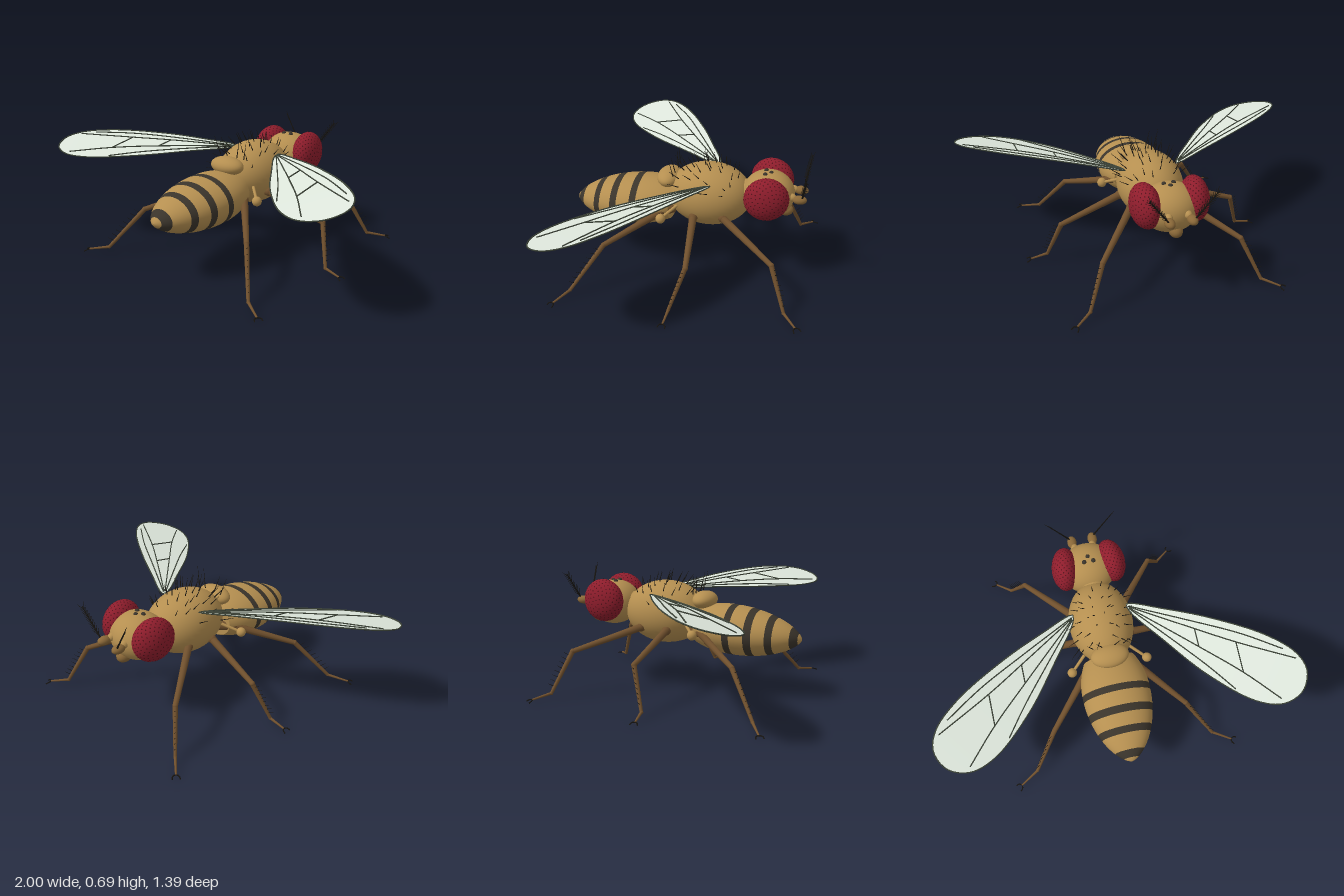
import * as THREE from 'three';
import { mergeGeometries } from 'three/addons/utils/BufferGeometryUtils.js';

const mat = (name, color, side = THREE.FrontSide) => {
  const m = new THREE.MeshStandardMaterial({ color, side });
  m.name = name;
  return m;
};
const V = (x, y, z) => new THREE.Vector3(x, y, z);
const UP = V(0, 1, 0);

export function createModel() {
  const tan = mat('tan body', 0xb58f50), stripe = mat('dark stripe', 0x3a342b);
  const red = mat('eye red', 0x8f1d2c), darkRed = mat('facet red', 0x541019, THREE.DoubleSide);
  const brown = mat('leg brown', 0x70502d), amber = mat('amber', 0x8a6838);
  const wingMat = mat('wing grey', 0xdfe8dd, THREE.DoubleSide);
  const vein = mat('vein', 0x3b4236), black = mat('bristle black', 0x17140f);

  const root = new THREE.Group();
  root.name = 'fly';
  const add = (name, geo, material, parent = root) => {
    const m = new THREE.Mesh(geo, material);
    m.name = name;
    parent.add(m);
    return m;
  };
  const ball = (c, r, seg = 32) =>
    new THREE.SphereGeometry(1, seg, Math.round(seg * 0.7)).scale(r.x, r.y, r.z).translate(c.x, c.y, c.z);
  // Tapered rod from a to b
  const rod = (a, b, ra, rb, seg = 10) => {
    const d = b.clone().sub(a);
    const q = new THREE.Quaternion().setFromUnitVectors(UP, d.clone().normalize());
    const mid = a.clone().add(b).multiplyScalar(0.5);
    return new THREE.CylinderGeometry(rb, ra, d.length(), seg).applyQuaternion(q).translate(mid.x, mid.y, mid.z);
  };
  const spike = (a, dir, len, r = 0.003) =>
    rod(a, a.clone().addScaledVector(dir.clone().normalize(), len), r, 0.0006, 5);
  let seed = 7;
  const rnd = () => (seed = (seed * 16807) % 2147483647) / 2147483647 - 0.5;

  // Thorax, neck, scutellum and head
  const tc = V(0, 0.445, -0.1), tr = V(0.18, 0.178, 0.24);
  add('thorax', ball(tc, tr, 40), tan);
  add('scutellum', ball(V(0, 0.525, 0.13), V(0.105, 0.05, 0.068)), tan);
  add('neck', rod(V(0, 0.46, -0.24), V(0, 0.475, -0.38), 0.08, 0.08, 24), tan);
  add('head', ball(V(0, 0.48, -0.43), V(0.16, 0.128, 0.146)), tan);
  add('proboscis', ball(V(0, 0.39, -0.53), V(0.036, 0.034, 0.044), 20), amber);
  for (const [x, z] of [[0, -0.44], [-0.026, -0.41], [0.026, -0.41]])
    add('ocellus', ball(V(x, 0.604, z), V(0.013, 0.012, 0.013), 12), stripe);

  // Abdomen in alternating bands, drooping slightly to a pointed tail
  const radius = z => z < 0.3
    ? 0.19 - 0.045 * ((0.3 - z) / 0.19) ** 2.2
    : 0.19 * Math.max(0, 1 - ((z - 0.3) / 0.386) ** 2) ** 0.65;
  const droop = new THREE.Matrix4().set(1, 0, 0, 0, 0, 1, -0.075, 0.393, 0, 0, 1, 0, 0, 0, 0, 1);
  const cuts = [0.11, 0.289, 0.326, 0.403, 0.443, 0.512, 0.548, 0.63, 0.668, 0.686];
  for (let i = 0; i < cuts.length - 1; i++) {
    const pts = i === 0 ? [new THREE.Vector2(0, cuts[0]), new THREE.Vector2(radius(cuts[0]), cuts[0])] : [];
    for (let k = 0; k <= 10; k++) {
      const z = THREE.MathUtils.lerp(cuts[i], cuts[i + 1], k / 10);
      pts.push(new THREE.Vector2(radius(z), z));
    }
    const band = new THREE.LatheGeometry(pts, 40).rotateX(Math.PI / 2).scale(1, 0.72, 1).applyMatrix4(droop);
    add('abdomenBand', band, i % 2 ? stripe : tan);
  }

  // Thorax bristles, swept backwards
  const hairs = [];
  for (const s of [-1, 1]) {
    for (const x0 of [0.03, 0.075, 0.12, 0.16])
      for (let k = 0; k < 6; k++) {
        const x = s * (x0 + rnd() * 0.03), z = -0.25 + k * 0.06 + rnd() * 0.04;
        const h = 1 - (x / tr.x) ** 2 - ((z - tc.z) / tr.z) ** 2;
        if (h <= 0) continue;
        const p = V(x, tc.y + tr.y * Math.sqrt(h), z);
        const n = p.clone().sub(tc).divide(tr).divide(tr).normalize();
        hairs.push(spike(p, n.add(V(rnd() * 0.4, 0.15, 0.35 + rnd() * 0.3)), 0.05 + 0.006 * k));
      }
    for (const x of [0.035, 0.085])
      hairs.push(spike(V(s * x, 0.565, 0.09), V(s * 0.3, 1, 0.15), 0.11));
  }
  add('thoraxBristles', mergeGeometries(hairs), black);

  // Hip, knee, ankle and toe of each leg on one side
  const legs = {
    frontLeg: [[0.14, 0.37, -0.2], [0.38, 0.258, -0.507], [0.475, 0.034, -0.595], [0.56, 0.014, -0.665]],
    middleLeg: [[0.16, 0.365, -0.04], [0.505, 0.256, -0.077], [0.582, 0.034, -0.003], [0.675, 0.012, 0.004]],
    hindLeg: [[0.14, 0.365, 0.15], [0.38, 0.256, 0.41], [0.525, 0.034, 0.565], [0.63, 0.012, 0.625]],
  };
  // Wing outline and veins as x, z pairs
  const outline = [[0.15, -0.13], [0.35, -0.045], [0.567, 0.063], [0.835, 0.23], [0.965, 0.36], [0.995, 0.46],
    [0.945, 0.56], [0.835, 0.597], [0.7, 0.55], [0.485, 0.355], [0.3, 0.115], [0.16, -0.085]];
  const veins = [
    [[0.16, -0.115], [0.45, 0.045], [0.7, 0.185], [0.9, 0.32]],
    [[0.16, -0.11], [0.475, 0.1], [0.67, 0.225], [0.955, 0.385]],
    [[0.16, -0.105], [0.475, 0.2], [0.67, 0.39], [0.83, 0.57]],
    [[0.16, -0.1], [0.35, 0.13], [0.5, 0.315], [0.61, 0.465]],
    [[0.475, 0.1], [0.475, 0.2]],
    [[0.67, 0.225], [0.67, 0.39]],
  ];
  // Height of the tilted, gently arched wing, leading edge raised
  const wingY = (x, z) => {
    const u = Math.abs(x) - 0.15, w = z + 0.12, along = 0.79 * u + 0.61 * w;
    return 0.557 + 0.065 * along - 0.05 * along * along + 0.23 * (0.61 * u - 0.79 * w);
  };

  for (const s of [-1, 1]) {
    const side = s > 0 ? 'left' : 'right';
    const group = name => {
      const g = new THREE.Group();
      g.name = `${side} ${name}`;
      root.add(g);
      return g;
    };

    // Compound eye with evenly spread facets, turned slightly inwards at the front
    const eye = group('eye'), er = V(0.077, 0.121, 0.122);
    eye.position.set(s * 0.133, 0.508, -0.435);
    eye.rotation.y = s * 0.12;
    add('eyeball', ball(V(0, 0, 0), er, 40), red, eye);
    const dots = [];
    for (let i = 0; i < 320; i++) {
      const y = 1 - (2 * i + 1) / 320, a = i * 2.39996, r = Math.sqrt(1 - y * y);
      const u = V(y * s, r * Math.cos(a), r * Math.sin(a));
      const q = new THREE.Quaternion().setFromUnitVectors(V(0, 0, 1), u.clone().divide(er).normalize());
      const p = u.multiply(er).multiplyScalar(1.008);
      dots.push(new THREE.CircleGeometry(0.0042, 6).applyQuaternion(q).translate(p.x, p.y, p.z));
    }
    add('eyeFacets', mergeGeometries(dots), darkRed, eye);

    // Antenna with a feathered arista
    const ant = group('antenna');
    add('antennaBase', ball(V(s * 0.052, 0.495, -0.56), V(0.022, 0.022, 0.03), 16), tan, ant);
    add('antennaLobe', ball(V(s * 0.06, 0.488, -0.606), V(0.027, 0.024, 0.04), 18), amber, ant);
    const a0 = V(s * 0.068, 0.5, -0.62), a1 = V(s * 0.18, 0.655, -0.645), ad = a1.clone().sub(a0);
    const feather = [rod(a0, a1, 0.005, 0.002, 6)];
    for (let k = 1; k < 9; k++) {
      const p = a0.clone().addScaledVector(ad, k / 9);
      for (const t of [-1, 1])
        feather.push(spike(p, ad.clone().normalize().add(V(-t * s * 0.26, t * 0.19, t * 0.3)), 0.045, 0.0028));
    }
    add('arista', mergeGeometries(feather), black, ant);

    // Haltere
    const halt = group('haltere'), knob = V(s * 0.215, 0.365, 0.132);
    add('halterStalk', rod(V(s * 0.13, 0.41, 0.06), knob, 0.009, 0.008), tan, halt);
    add('halterKnob', ball(knob, V(0.027, 0.027, 0.027), 18), tan, halt);

    // Legs with tibia spines and paired claws
    for (const [name, joints] of Object.entries(legs)) {
      const leg = group(name);
      const [hip, knee, ankle, toe] = joints.map(p => V(p[0] * s, p[1], p[2]));
      const inner = V(s * 0.08, 0.37, hip.z * 0.75 - 0.02);
      add('coxa', rod(inner, hip, 0.03, 0.024), brown, leg);
      add('hipJoint', ball(hip, V(0.025, 0.025, 0.025), 14), brown, leg);
      add('femur', rod(hip, knee, 0.022, 0.014), brown, leg);
      add('kneeJoint', ball(knee, V(0.015, 0.015, 0.015), 12), brown, leg);
      add('tibia', rod(knee, ankle, 0.014, 0.009), brown, leg);
      add('ankleJoint', ball(ankle, V(0.01, 0.01, 0.01), 10), brown, leg);
      add('tarsus', rod(ankle, toe, 0.008, 0.005), brown, leg);
      const spines = [], out = V(toe.x - hip.x, 0, toe.z - hip.z).normalize();
      for (let k = 1; k < 9; k++)
        spines.push(spike(knee.clone().lerp(ankle, k / 9.5), out.clone().add(V(0, 0.6, 0)), 0.044, 0.0024));
      add('tibiaSpines', mergeGeometries(spines), black, leg);
      const fwd = V(toe.x - ankle.x, 0, toe.z - ankle.z).normalize(), across = V(-fwd.z, 0, fwd.x);
      for (const t of [-1, 1]) {
        const at = (f, c, y) => toe.clone().addScaledVector(fwd, f).addScaledVector(across, c * t).setY(y);
        const curve = new THREE.QuadraticBezierCurve3(toe, at(0.003, 0.02, 0.016), at(0.025, 0.02, 0.004));
        add('claw', new THREE.TubeGeometry(curve, 8, 0.0035, 6), black, leg);
      }
    }

    // Wing membrane stretched from leading to trailing edge, with rim and veins on its upper face
    const wing = group('wing');
    const rim = new THREE.CatmullRomCurve3(outline.map(([x, z]) => V(x * s, wingY(x, z) + 0.003, z)), true);
    const membrane = new THREE.PlaneGeometry(1, 1, 48, 6);
    const pos = membrane.attributes.position;
    for (let i = 0; i < pos.count; i++) {
      const u = pos.getX(i) + 0.5, v = pos.getY(i) + 0.5;
      const p = rim.getPoint(u * 5.5 / 12).lerp(rim.getPoint(1 - u * 6.5 / 12), v);
      pos.setXYZ(i, p.x, wingY(p.x, p.z), p.z);
    }
    membrane.computeVertexNormals();
    add('wingMembrane', membrane, wingMat, wing);
    add('wingRim', new THREE.TubeGeometry(rim, 90, 0.0036, 6, true), vein, wing);
    for (const line of veins) {
      const c = new THREE.CatmullRomCurve3(line.map(([x, z]) => V(x * s, wingY(x, z) + 0.0045, z)));
      add('wingVein', new THREE.TubeGeometry(c, 24, 0.0034, 6), vein, wing);
    }
  }
  return root;
}
